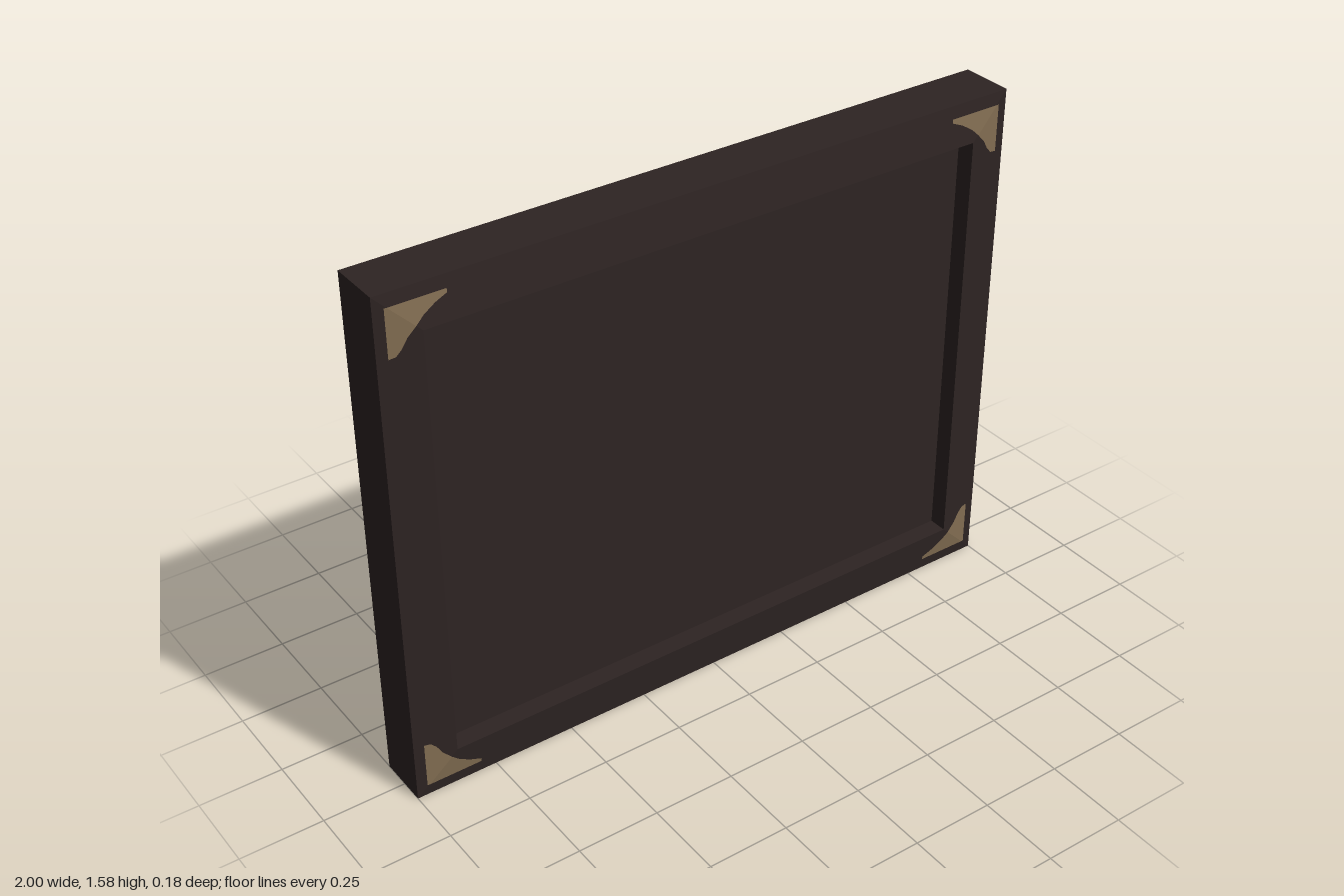
import * as THREE from 'three';

const W = 2, H = 1.58;           // outer size
const INSET = 0.125;             // width of the frame border
const BACK = -0.088, RIM = 0.073, LIP = 0.088, RECESS = 0.03;

// Sweeps a profile of [inset, z] points around the rectangle, with mitred corners
function mitredFrame(profile) {
  const corners = [[-1, 0], [1, 0], [1, 1], [-1, 1]];
  const at = ([sx, top], [inset, z]) =>
    [sx * (W / 2 - inset), top ? H - inset : inset, z];
  const positions = [];
  for (let i = 0; i < 4; i++) {
    const from = corners[i], to = corners[(i + 1) % 4];
    for (let j = 0; j < profile.length - 1; j++) {
      const a = at(from, profile[j]), b = at(to, profile[j]);
      const c = at(to, profile[j + 1]), d = at(from, profile[j + 1]);
      positions.push(...a, ...b, ...c, ...a, ...c, ...d);
    }
  }
  const geometry = new THREE.BufferGeometry();
  geometry.setAttribute('position', new THREE.Float32BufferAttribute(positions, 3));
  geometry.computeVertexNormals();
  return geometry;
}

// Flat ornament half, measured from the nearest corner, laid on the sloping border
function ornamentHalf(points, sx, top) {
  const shape = new THREE.Shape(points.map(([u, v]) =>
    new THREE.Vector2(sx * (W / 2 - u), top ? H - v : v)));
  const geometry = new THREE.ShapeGeometry(shape);
  const p = geometry.attributes.position;
  for (let i = 0; i < p.count; i++) {
    const u = W / 2 - Math.abs(p.getX(i));
    const v = Math.min(p.getY(i), H - p.getY(i));
    p.setZ(i, RIM + (LIP - RIM) * Math.min(u, v) / INSET + 0.002);
  }
  geometry.computeVertexNormals();
  return geometry;
}

export function createModel() {
  const group = new THREE.Group();
  const darkWood = new THREE.MeshStandardMaterial({ color: 0x2e2423 });
  const brass = new THREE.MeshStandardMaterial({ color: 0x836e52 });

  const add = (name, geometry, material, parent = group) => {
    const mesh = new THREE.Mesh(geometry, material);
    mesh.name = name;
    parent.add(mesh);
    return mesh;
  };

  // Outer walls, sloping border and inner recess walls
  add('frame', mitredFrame([[0, BACK], [0, RIM], [INSET, LIP], [INSET, RECESS]]), darkWood);

  // Recessed picture panel
  add('panel', new THREE.PlaneGeometry(W - 2 * INSET, H - 2 * INSET), darkWood)
    .position.set(0, H / 2, RECESS);

  // Back cover
  const back = add('backCover', new THREE.PlaneGeometry(W, H), darkWood);
  back.position.set(0, H / 2, BACK);
  back.rotation.y = Math.PI;

  // Corner ornaments, each split along the mitre
  const along = [[0.037, 0.037], [0.2, 0.037], [0.2, 0.048], [0.165, 0.063],
    [0.13, 0.085], [0.107, 0.107]];
  const upright = [[0.03, 0.037], [0.037, 0.037], [0.107, 0.107], [0.082, 0.133],
    [0.066, 0.16], [0.05, 0.177], [0.03, 0.18]];
  for (const sx of [-1, 1]) {
    for (const top of [false, true]) {
      const corner = new THREE.Group();
      corner.name = (top ? 'top' : 'bottom') + (sx > 0 ? 'Left' : 'Right') + 'Ornament';
      add('ornamentAlong', ornamentHalf(along, sx, top), brass, corner);
      add('ornamentUpright', ornamentHalf(upright, sx, top), brass, corner);
      group.add(corner);
    }
  }
  return group;
}
